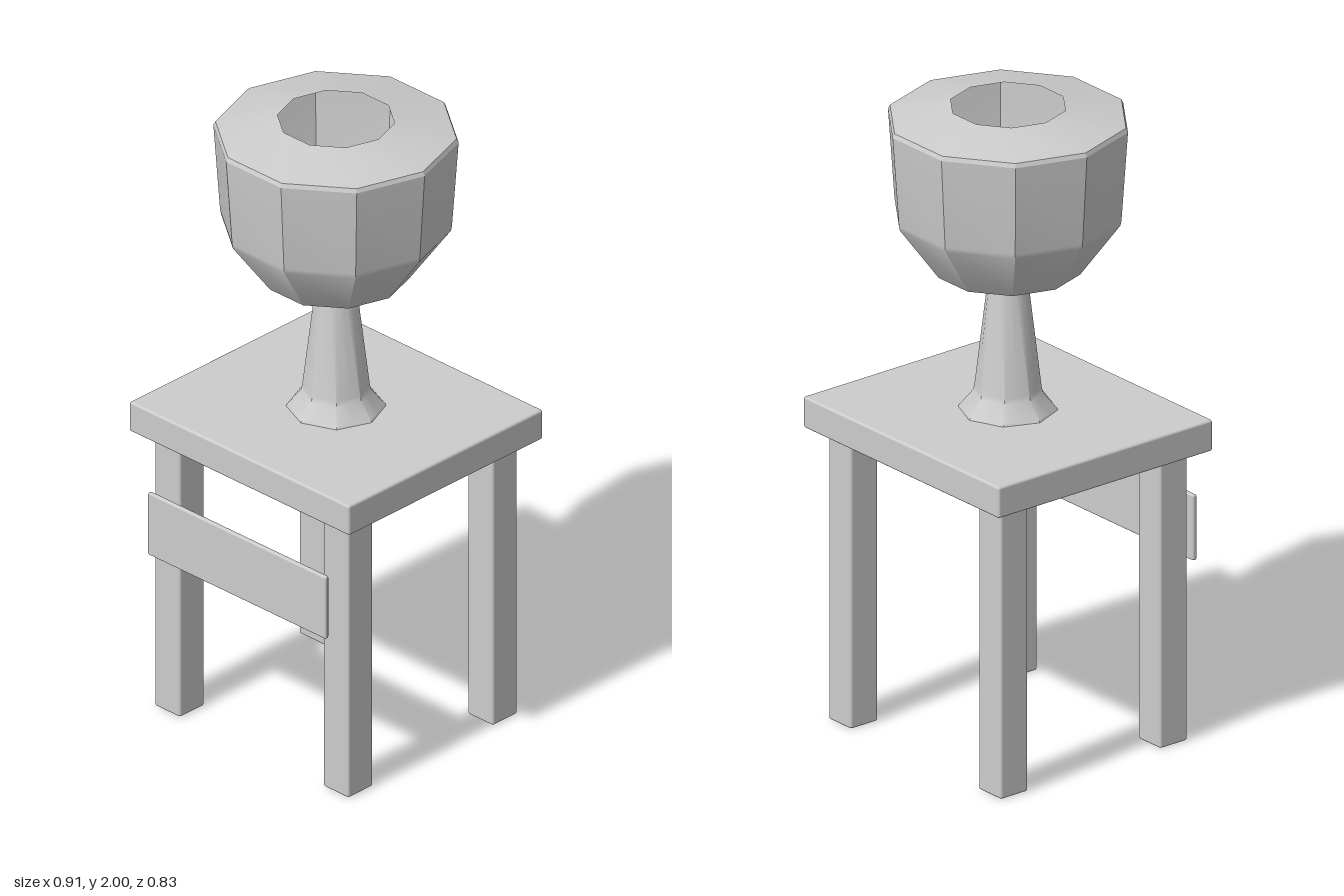
import * as THREE from 'three';
import { toCreasedNormals } from 'three/addons/utils/BufferGeometryUtils.js';
import { RoundedBoxGeometry } from 'three/addons/geometries/RoundedBoxGeometry.js';

const CENTER_Z = -0.006;

export function createModel() {
  const model = new THREE.Group();
  const grey = new THREE.MeshStandardMaterial({ color: 0xcccccc, side: THREE.DoubleSide });
  grey.name = 'light grey';

  const add = (name, geometry, x = 0, y = 0, z = 0) => {
    const mesh = new THREE.Mesh(geometry, grey);
    mesh.name = name;
    mesh.position.set(x, y, z);
    model.add(mesh);
    return mesh;
  };
  const box = (w, h, d, r) => new RoundedBoxGeometry(w, h, d, 2, r);
  const lathe = (points, sides) =>
    new THREE.LatheGeometry(points.map(([r, y]) => new THREE.Vector2(r, y)), sides).rotateY(Math.PI / 2);

  // Table top with softened edges
  add('tableTop', box(0.908, 0.1, 0.82, 0.008), 0, 0.98, CENTER_Z);

  // Four square legs
  for (const sx of [1, -1]) {
    for (const sz of [1, -1]) {
      const name = (sz > 0 ? 'front' : 'back') + (sx > 0 ? 'Left' : 'Right') + 'Leg';
      add(name, box(0.105, 0.94, 0.105, 0.008), sx * 0.348, 0.47, CENTER_Z + sz * 0.305);
    }
  }

  // Thin panel standing just ahead of the front legs
  add('frontPanel', box(0.735, 0.21, 0.016, 0.006), 0, 0.655, 0.407);

  // Lamp stem: octagonal foot that blends into a round, tapered neck
  const stem = lathe([[0.148, 1.03], [0.145, 1.036], [0.104, 1.085], [0.1, 1.1], [0.053, 1.5], [0.05, 1.52], [0, 1.52]], 16);
  const pos = stem.attributes.position;
  for (let i = 0; i < pos.count; i++) {
    const x = pos.getX(i), z = pos.getZ(i);
    const odd = Math.round(Math.atan2(z, x) / (Math.PI / 8)) & 1;
    if (!odd) continue;
    const footness = THREE.MathUtils.clamp((Math.hypot(x, z) - 0.053) / 0.05, 0, 1);
    const k = THREE.MathUtils.lerp(1, Math.cos(Math.PI / 8), footness);
    pos.setX(i, x * k);
    pos.setZ(i, z * k);
  }
  add('lampStem', toCreasedNormals(stem, 0.7), 0, 0, CENTER_Z);

  // Ten-sided shade, open at both ends
  const shade = lathe([[0.22, 1.48], [0.343, 1.65], [0.346, 1.665], [0.366, 1.95], [0.36, 1.963], [0.175, 2]], 10);
  add('lampShade', toCreasedNormals(shade, 0.42), 0, 0, CENTER_Z);

  return model;
}
